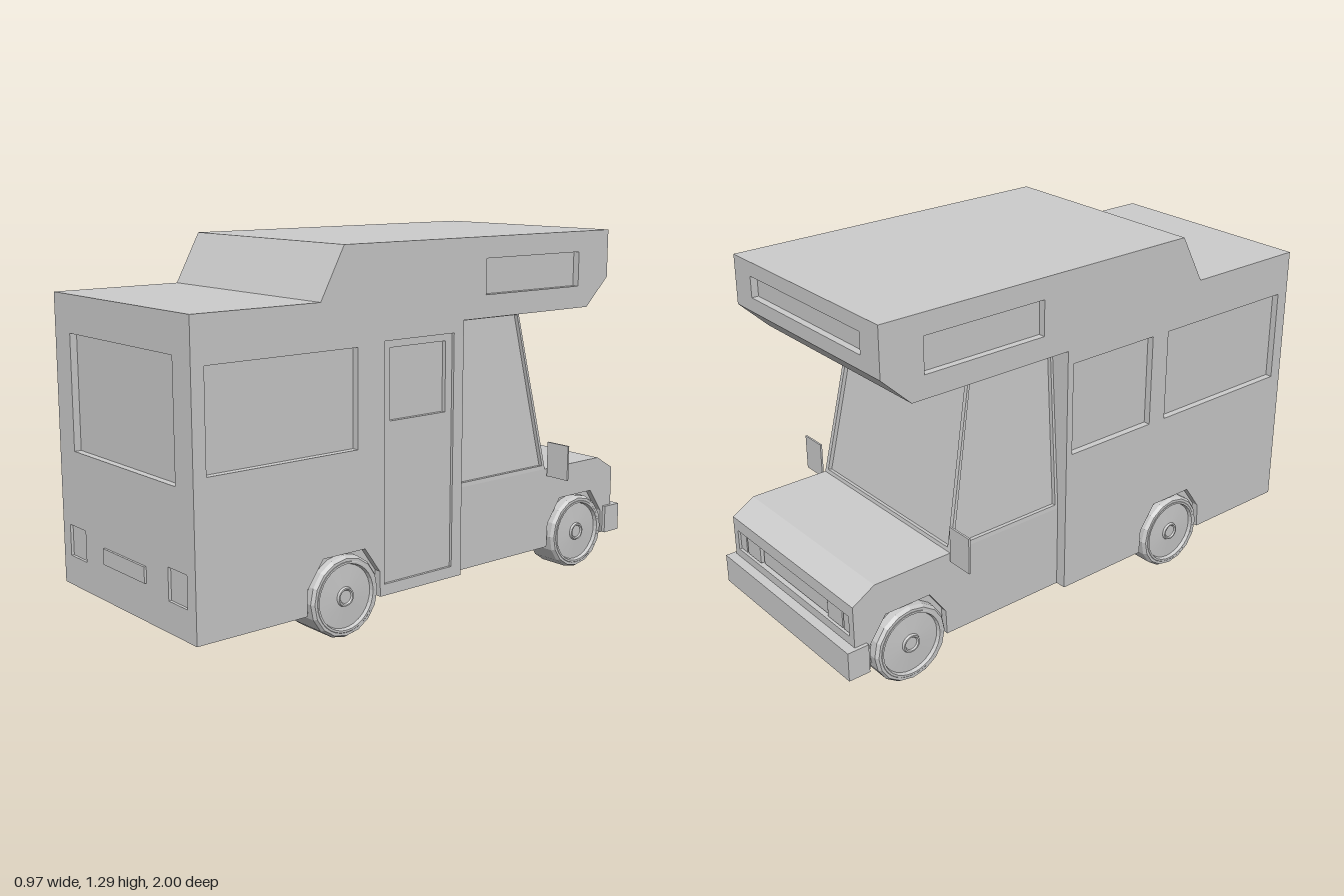
import * as THREE from 'three';

const mat = new THREE.MeshStandardMaterial({ color: 0xcccccc, flatShading: true });
const smoothMat = new THREE.MeshStandardMaterial({ color: 0xcccccc });
const W = 0.415;    // camper half width
const C = 0.375;    // cab half width
const T = 0.025;    // depth of the recessed windows
const FLOOR = 0.105;
const AXLES = { rear: 0.417, front: -0.755 };

const pts = list => list.map(([a, b]) => new THREE.Vector2(a, b));
const rect = (u0, v0, u1, v1) => [[u0, v0], [u1, v0], [u1, v1], [u0, v1]];

function extrude(outline, holes, depth) {
  const shape = new THREE.Shape(pts(outline));
  holes.forEach(h => shape.holes.push(new THREE.Path(pts(h))));
  return new THREE.ExtrudeGeometry(shape, { depth, bevelEnabled: false });
}

// Slab with a (z, y) outline, spanning x from outer - thickness to outer
const sideSlab = (outline, holes, outer, thickness) =>
  extrude(outline, holes, thickness).rotateY(-Math.PI / 2).translate(outer, 0, 0);

// Slab with an (x, y) outline, spanning z0 to z0 + thickness
const frontSlab = (outline, holes, z0, thickness) =>
  extrude(outline, holes, thickness).translate(0, 0, z0);

const box = (x0, x1, y0, y1, z0, z1) =>
  new THREE.BoxGeometry(x1 - x0, y1 - y0, z1 - z0)
    .translate((x0 + x1) / 2, (y0 + y1) / 2, (z0 + z1) / 2);

// Wheel arch points along the sill, from rear to front
const arch = z => [[0.155, FLOOR], [0.152, 0.195], [0.088, 0.285],
  [-0.088, 0.285], [-0.152, 0.195], [-0.155, FLOOR]].map(([u, v]) => [z + u, v]);

// Flat four-cornered frame around a pane set back by depth
function framedPane(corners, inset, depth) {
  const o = corners.map(c => new THREE.Vector3(...c));
  const n = o[1].clone().sub(o[0]).cross(o[3].clone().sub(o[0])).normalize();
  const at = (s, t) => o[0].clone().lerp(o[1], s).lerp(o[3].clone().lerp(o[2], s), t);
  const inner = [at(inset, inset), at(1 - inset, inset), at(1 - inset, 1 - inset), at(inset, 1 - inset)];
  const pane = inner.map(p => p.clone().addScaledVector(n, -depth));
  const pos = [];
  const quad = (a, b, c, d) => [a, b, c, a, c, d].forEach(p => pos.push(p.x, p.y, p.z));
  for (let i = 0; i < 4; i++) {
    const j = (i + 1) % 4;
    quad(o[i], o[j], inner[j], inner[i]);
    quad(inner[i], inner[j], pane[j], pane[i]);
  }
  quad(...pane);
  const g = new THREE.BufferGeometry();
  g.setAttribute('position', new THREE.Float32BufferAttribute(pos, 3));
  g.computeVertexNormals();
  return g;
}

// Wheel whose outer face lies at y = 0 before it is turned onto the axle
function makeWheel(width) {
  const wheel = new THREE.Group();
  const tyre = new THREE.LatheGeometry(pts([[0, -width], [0.14, -width], [0.14, -0.012],
    [0.132, 0], [0.121, 0], [0.119, -0.016]]), 16);
  const rim = new THREE.LatheGeometry(pts([[0.123, -0.001], [0.12, 0.001], [0.113, 0.001], [0.109, -0.012],
    [0.034, -0.008], [0.031, 0], [0.026, 0], [0.022, -0.005], [0, -0.005]].reverse()), 32);
  rim.scale(1, -1, 1).scale(1, -1, 1);
  const tyreMesh = new THREE.Mesh(tyre, mat);
  tyreMesh.name = 'tyre';
  const rimMat = mat.clone();
  rimMat.side = THREE.DoubleSide;
  const rimMesh = new THREE.Mesh(rim, rimMat);
  rimMesh.name = 'rim';
  wheel.add(tyreMesh, rimMesh);
  return wheel;
}

export function createModel() {
  const model = new THREE.Group();
  const add = (name, geometry, parent = model) => {
    const mesh = new THREE.Mesh(geometry, mat);
    mesh.name = name;
    parent.add(mesh);
    return mesh;
  };

  // Camper body core, set in behind its outer panels
  const roof = [[0.51, 1.115], [0.415, 1.29]];
  const under = [[-0.85, 1.115], [-0.74, 1.01], [-0.11, 1.01], [-0.11, FLOOR]];
  const inR = 0.992 - T, inF = -0.85 + T;
  add('camperCore', sideSlab([[inR, FLOOR], [inR, 1.115], ...roof, [inF, 1.29], [inF, 1.115], ...under],
    [], W - T, 2 * (W - T)));

  // Camper side panels: door on the left, extra window on the right
  const skin = [[0.992, FLOOR], [0.992, 1.115], ...roof, [-0.85, 1.29], ...under,
    ...arch(AXLES.rear).reverse()];
  const rearWindow = rect(0.36, 0.625, 0.945, 0.96);
  const bunkWindow = rect(-0.69, 1.09, -0.215, 1.215);
  const doorway = rect(-0.065, 0.145, 0.245, 0.97);
  const diningWindow = rect(-0.085, 0.625, 0.285, 0.96);
  add('leftSidePanel', sideSlab(skin, [rearWindow, bunkWindow, doorway], W, T));
  add('rightSidePanel', sideSlab(skin, [rearWindow, bunkWindow, diningWindow], -W + T, T));
  add('door', sideSlab(doorway, [rect(-0.035, 0.7, 0.215, 0.945)], W - 0.01, T - 0.01));

  // Tail panel with window and lamp recesses, and the bunk's nose panel
  const lamp = s => rect(s * 0.26, 0.21, s * 0.367, 0.32);
  add('tailPanel', frontSlab(rect(-W + T, FLOOR, W - T, 1.115),
    [rect(-0.315, 0.585, 0.315, 0.985), lamp(1), lamp(-1)], inR, T));
  add('bunkNosePanel', frontSlab(rect(-W + T, 1.115, W - T, 1.29),
    [rect(-0.315, 1.165, 0.315, 1.24)], -0.85, T));
  for (const s of [1, -1])
    add('tailLamp', box(s * 0.3135 - 0.0535, s * 0.3135 + 0.0535, 0.21, 0.32, inR, 0.982));
  add('plateHolder', box(-0.13, 0.13, 0.235, 0.29, 0.99, 1));

  // Cab lower body with bonnet
  const bonnet = [[-0.965, 0.36], [-0.88, 0.41], [-0.1, 0.41]];
  const noseIn = -0.965 + T;
  add('cabCore', sideSlab([[-0.1, FLOOR], [noseIn, FLOOR], [noseIn, 0.34], [-0.965, 0.34], ...bonnet],
    [], C - T, 2 * (C - T)));
  const cabSkin = [[-0.1, FLOOR], ...arch(AXLES.front), [-0.965, FLOOR], ...bonnet];
  add('cabLeftPanel', sideSlab(cabSkin, [], C, T));
  add('cabRightPanel', sideSlab(cabSkin, [], -C + T, T));
  add('cabNosePanel', frontSlab(rect(-C + T, FLOOR, C - T, 0.34),
    [rect(-0.348, 0.24, 0.348, 0.315)], -0.965, T));

  // Grille and lamps in the nose recess
  add('grille', box(-0.2, 0.2, 0.245, 0.31, -0.95, noseIn));
  for (const s of [1, -1]) {
    add('headlamp', box(s * 0.255 - 0.043, s * 0.255 + 0.043, 0.243, 0.312, -0.957, noseIn));
    add('indicator', box(s * 0.326 - 0.02, s * 0.326 + 0.02, 0.243, 0.312, -0.957, noseIn));
  }
  add('bumper', box(-0.388, 0.388, FLOOR, 0.21, -1, -0.92));

  // Tapered cab windows
  const top = 0.335, yb = 0.41, yt = 1.01;
  const side = s => [[s * C, yb, -0.11], [s * C, yb, -0.58], [s * top, yt, -0.46], [s * top, yt, -0.11]];
  add('leftCabWindow', framedPane(side(1), 0.025, 0.015));
  add('rightCabWindow', framedPane(side(-1).reverse(), 0.025, 0.015));
  add('windscreen', framedPane([[C, yb, -0.58], [-C, yb, -0.58], [-top, yt, -0.46], [top, yt, -0.46]],
    0.022, 0.015));

  // Mirrors
  for (const s of [1, -1])
    add('mirror', box(s * 0.435 - 0.05, s * 0.435 + 0.05, 0.385, 0.515, -0.588, -0.581));

  // Wheels
  for (const [end, outer, width] of [['rear', 0.425, 0.157], ['front', 0.391, 0.123]])
    for (const s of [1, -1]) {
      const wheel = makeWheel(width);
      wheel.name = end + (s > 0 ? 'LeftWheel' : 'RightWheel');
      wheel.rotation.z = -s * Math.PI / 2;
      wheel.position.set(s * outer, 0.14, AXLES[end]);
      model.add(wheel);
    }
  return model;
}
